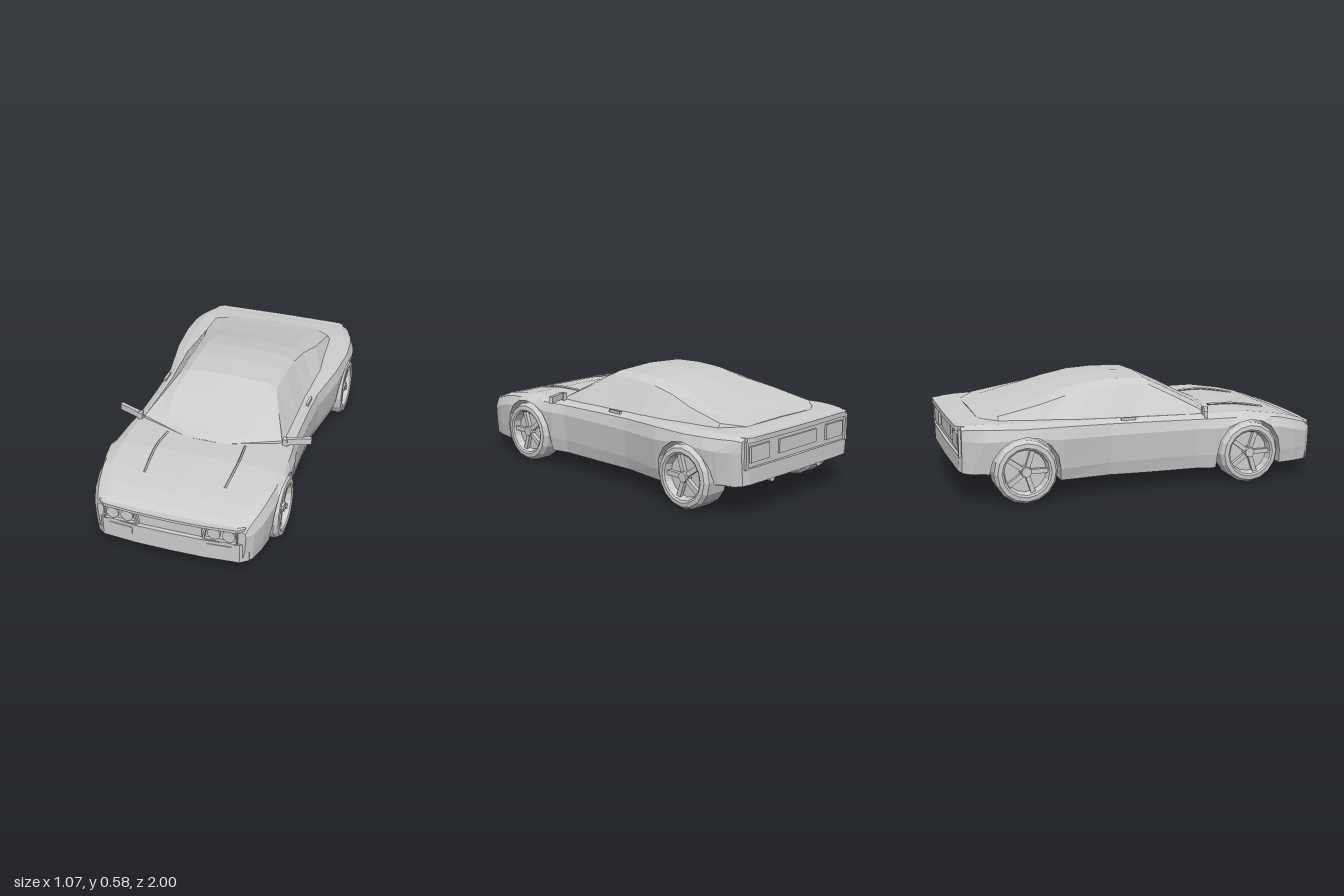
import * as THREE from 'three';

const mat = new THREE.MeshStandardMaterial({ color: 0xcccccc, flatShading: true, side: THREE.DoubleSide });
const WHEELS = [{ name: 'front', z: 0.575, width: 0.13 }, { name: 'rear', z: -0.66, width: 0.16 }];
const WHEEL_Y = 0.166, ARCH = 0.182, WELL_X = 0.34;

// Lower body sections, front to back:
// z, bottom y, bottom x, waist x, waist y, shoulder x, shoulder y, deck edge x, deck edge y, deck centre y
const BODY = [
  [0.965, 0.09, 0.37, 0.39, 0.25, 0.385, 0.27, 0.34, 0.288, 0.29],
  [0.93, 0.09, 0.41, 0.42, 0.25, 0.40, 0.295, 0.35, 0.308, 0.312],
  [0.85, 0.09, 0.435, 0.45, 0.27, 0.425, 0.32, 0.37, 0.335, 0.337],
  [0.75, 0.09, 0.45, 0.47, 0.295, 0.445, 0.345, 0.40, 0.357, 0.36],
  [0.575, 0.09, 0.455, 0.48, 0.315, 0.46, 0.36, 0.41, 0.383, 0.387],
  [0.37, 0.09, 0.445, 0.47, 0.31, 0.45, 0.36, 0.405, 0.383, 0.388],
  [0.28, 0.09, 0.425, 0.453, 0.31, 0.438, 0.36, 0.40, 0.38, 0.385],
  [0, 0.09, 0.42, 0.45, 0.31, 0.435, 0.365, 0.40, 0.385, 0.385],
  [-0.2, 0.095, 0.425, 0.455, 0.31, 0.44, 0.37, 0.40, 0.39, 0.39],
  [-0.46, 0.10, 0.465, 0.503, 0.32, 0.485, 0.382, 0.43, 0.40, 0.40],
  [-0.66, 0.11, 0.48, 0.515, 0.335, 0.50, 0.385, 0.44, 0.405, 0.41],
  [-0.8, 0.14, 0.475, 0.512, 0.335, 0.49, 0.39, 0.44, 0.41, 0.415],
  [-0.86, 0.16, 0.465, 0.495, 0.33, 0.475, 0.39, 0.43, 0.41, 0.414],
  [-0.93, 0.16, 0.44, 0.455, 0.33, 0.445, 0.39, 0.415, 0.407, 0.41],
  [-0.97, 0.165, 0.415, 0.43, 0.33, 0.425, 0.385, 0.40, 0.40, 0.403],
];

// Cabin sections: z, base x, base y, side x, side y, roof edge x, roof edge y, roof centre y
const CABIN = [
  [0.44, 0.12, 0.36, 0.10, 0.385, 0.06, 0.388, 0.389],
  [0.33, 0.40, 0.36, 0.385, 0.395, 0.25, 0.425, 0.436],
  [0.2, 0.405, 0.36, 0.33, 0.465, 0.26, 0.49, 0.505],
  [0.06, 0.405, 0.36, 0.275, 0.535, 0.225, 0.56, 0.572],
  [-0.1, 0.405, 0.36, 0.28, 0.54, 0.225, 0.566, 0.577],
  [-0.25, 0.41, 0.37, 0.285, 0.53, 0.225, 0.558, 0.568],
  [-0.4, 0.415, 0.38, 0.30, 0.505, 0.22, 0.53, 0.537],
  [-0.55, 0.40, 0.38, 0.335, 0.472, 0.24, 0.487, 0.494],
  [-0.77, 0.38, 0.39, 0.355, 0.43, 0.25, 0.432, 0.436],
  [-0.86, 0.30, 0.39, 0.26, 0.412, 0.2, 0.414, 0.418],
];

function sectionAt(z) {
  let i = 0;
  while (i < BODY.length - 2 && BODY[i + 1][0] > z) i++;
  const t = (BODY[i][0] - z) / (BODY[i][0] - BODY[i + 1][0]);
  return BODY[i].map((v, k) => THREE.MathUtils.lerp(v, BODY[i + 1][k], t));
}

// Half outline of the lower body at z; archY lifts the side's lower edge over a wheel
function bodyRing(z, archY) {
  const [, yb, wb, wm, ym, ws, ys, wt, yt, yc] = sectionAt(z);
  const low = Math.max(yb, archY);
  const sideX = (y) => wb + (wm - wb) * Math.min(1, Math.sqrt(Math.max(0, (y - yb) / (ym - yb))));
  const sill = Math.max(0.165, low);
  return [[0, yb], [WELL_X, yb], [WELL_X, low], [sideX(low), low], [sideX(sill), sill],
    [wm, Math.max(ym, low)], [ws, Math.max(ys, low + 0.006)], [wt, yt], [0, yc]].map(([x, y]) => [x, y, z]);
}

// Skin mirrored half sections, running front to back, and cap both ends
function loft(halves) {
  const rings = halves.map((h) => [...h, ...h.slice(1, -1).reverse().map(([x, y, z]) => [-x, y, z])]);
  const out = [], n = rings[0].length;
  for (let i = 0; i < rings.length - 1; i++) {
    for (let j = 0; j < n; j++) {
      const k = (j + 1) % n, a = rings[i][j], b = rings[i][k], c = rings[i + 1][k], d = rings[i + 1][j];
      out.push(...a, ...d, ...c, ...a, ...c, ...b);
    }
  }
  [rings[0], rings.at(-1)].forEach((r, end) => {
    const mid = [0, (r[0][1] + r[halves[0].length - 1][1]) / 2, r[0][2]];
    r.forEach((p, j) => {
      const q = r[(j + 1) % n];
      out.push(...mid, ...(end ? q : p), ...(end ? p : q));
    });
  });
  const g = new THREE.BufferGeometry();
  g.setAttribute('position', new THREE.Float32BufferAttribute(out, 3));
  g.computeVertexNormals();
  return g;
}

// Horizontal slab from a mirrored plan outline of [x, z] points
function slab(points, y0, y1) {
  const all = [...points, ...points.slice().reverse().map(([x, z]) => [-x, z])];
  const shape = new THREE.Shape(all.map(([x, z]) => new THREE.Vector2(x, -z)));
  return new THREE.ExtrudeGeometry(shape, { depth: y1 - y0, bevelEnabled: false }).rotateX(-Math.PI / 2).translate(0, y0, 0);
}

function add(parent, name, geometry, x = 0, y = 0, z = 0) {
  const m = new THREE.Mesh(geometry, mat);
  m.name = name;
  m.position.set(x, y, z);
  parent.add(m);
  return m;
}

// Wheel built along +y, outer face on top
function makeWheel(name, w) {
  const g = new THREE.Group();
  g.name = name;
  const profile = [[0, 0], [0.15, 0], [0.165, 0.012], [0.165, w - 0.025], [0.15, w - 0.003], [0.128, w],
    [0.118, w - 0.006], [0.108, w - 0.045], [0, w - 0.045]].map(([r, y]) => new THREE.Vector2(r, y));
  add(g, 'tyreAndRim', new THREE.LatheGeometry(profile, 16));
  add(g, 'hub', new THREE.CylinderGeometry(0.026, 0.032, 0.035, 10), 0, w - 0.027, 0);
  for (let i = 0; i < 5; i++) {
    const s = add(g, 'spoke', new THREE.BoxGeometry(0.024, 0.02, 0.1).translate(0, 0, 0.062), 0, w - 0.03, 0);
    s.rotation.y = (i / 5) * Math.PI * 2;
  }
  return g;
}

export function createModel() {
  const car = new THREE.Group();
  car.name = 'sportsCar';

  // Lower body with wheel arches
  const stations = BODY.map((s) => [s[0], 0]).filter(([z]) => WHEELS.every((w) => Math.abs(z - w.z) > ARCH + 0.01));
  for (const w of WHEELS) {
    stations.push([w.z + ARCH + 0.004, 0], [w.z - ARCH - 0.004, 0]);
    for (let i = 0; i <= 8; i++) {
      const a = (i / 8) * Math.PI;
      stations.push([w.z + ARCH * Math.cos(a), WHEEL_Y + ARCH * Math.sin(a)]);
    }
  }
  stations.sort((a, b) => b[0] - a[0]);
  add(car, 'body', loft(stations.map(([z, y]) => bodyRing(z, y))));

  // Cabin
  add(car, 'cabin', loft(CABIN.map(([z, bx, by, sx, sy, rx, ry, cy]) =>
    [[0, by, z], [bx, by, z], [sx, sy, z], [rx, ry, z], [0, cy, z]])));

  // Nose and tail
  add(car, 'frontBumper', slab([[0.405, 0.92], [0.40, 0.945], [0.36, 0.975], [0.18, 0.99], [0, 0.993]], 0.09, 0.2));
  add(car, 'noseLip', slab([[0.385, 0.93], [0.38, 0.955], [0.35, 0.98], [0.18, 0.995], [0, 1]], 0.276, 0.291));
  add(car, 'grille', new THREE.BoxGeometry(0.33, 0.07, 0.02), 0, 0.238, 0.962);
  add(car, 'rearLip', slab([[0.41, -0.95], [0.40, -0.98], [0.37, -0.995], [0, -1]], 0.378, 0.403));
  add(car, 'rearBumper', slab([[0.43, -0.94], [0.415, -0.97], [0.38, -0.982], [0, -0.988]], 0.168, 0.25));
  add(car, 'tailPanel', new THREE.BoxGeometry(0.3, 0.07, 0.012), 0, 0.315, -0.972);

  for (const s of [1, -1]) {
    const side = s > 0 ? 'left' : 'right';

    // Headlamps: slanted housing with two round lenses
    const frame = new THREE.Shape([[0.17, 0.2], [0.35, 0.2], [0.35, 0.278], [0.185, 0.28]]
      .map(([x, y]) => new THREE.Vector2(s * x, y)));
    frame.holes.push(new THREE.Path([[0.18, 0.206], [0.344, 0.206], [0.344, 0.272], [0.193, 0.274]]
      .map(([x, y]) => new THREE.Vector2(s * x, y))));
    add(car, side + 'HeadlampFrame', new THREE.ExtrudeGeometry(frame, { depth: 0.022, bevelEnabled: false }), 0, 0, 0.96);
    for (const x of [0.228, 0.305]) {
      add(car, side + 'Headlamp', new THREE.CylinderGeometry(0.033, 0.033, 0.02, 16).rotateX(Math.PI / 2), s * x, 0.24, 0.966);
    }
    const fog = add(car, side + 'FogLamp', new THREE.BoxGeometry(0.125, 0.04, 0.01), s * 0.258, 0.163, 0.982);
    fog.rotation.y = s * 0.083;

    // Tail lamps, frame ends and exhausts
    add(car, side + 'TailLamp', new THREE.BoxGeometry(0.14, 0.08, 0.016), s * 0.3, 0.315, -0.974);
    add(car, side + 'TailFrame', new THREE.BoxGeometry(0.016, 0.14, 0.03), s * 0.4, 0.315, -0.968);
    add(car, side + 'Exhaust', new THREE.CylinderGeometry(0.022, 0.022, 0.09, 10).rotateX(Math.PI / 2), s * 0.19, 0.165, -0.925);

    // Door mirrors
    const mirror = add(car, side + 'Mirror', new THREE.BoxGeometry(0.13, 0.037, 0.02), s * 0.472, 0.404, 0.315);
    mirror.rotation.y = s * 0.37;
    add(car, side + 'MirrorMount', new THREE.BoxGeometry(0.025, 0.04, 0.03), s * 0.405, 0.398, 0.335);

    // Bonnet ridges and door handles
    const ridge = new THREE.CatmullRomCurve3([[0.215, 0.39, 0.43], [0.225, 0.391, 0.56], [0.222, 0.378, 0.66], [0.215, 0.358, 0.76]]
      .map(([x, y, z]) => new THREE.Vector3(s * x, y, z)));
    add(car, side + 'BonnetRidge', new THREE.TubeGeometry(ridge, 8, 0.006, 4));
    add(car, side + 'DoorHandle', new THREE.BoxGeometry(0.014, 0.014, 0.08), s * 0.418, 0.386, -0.095);

    // Wheels
    for (const w of WHEELS) {
      const wheel = makeWheel(w.name + (s > 0 ? 'Left' : 'Right') + 'Wheel', w.width);
      wheel.rotation.z = -s * Math.PI / 2;
      wheel.position.set(s * 0.355, WHEEL_Y, w.z);
      car.add(wheel);
    }
  }
  return car;
}
